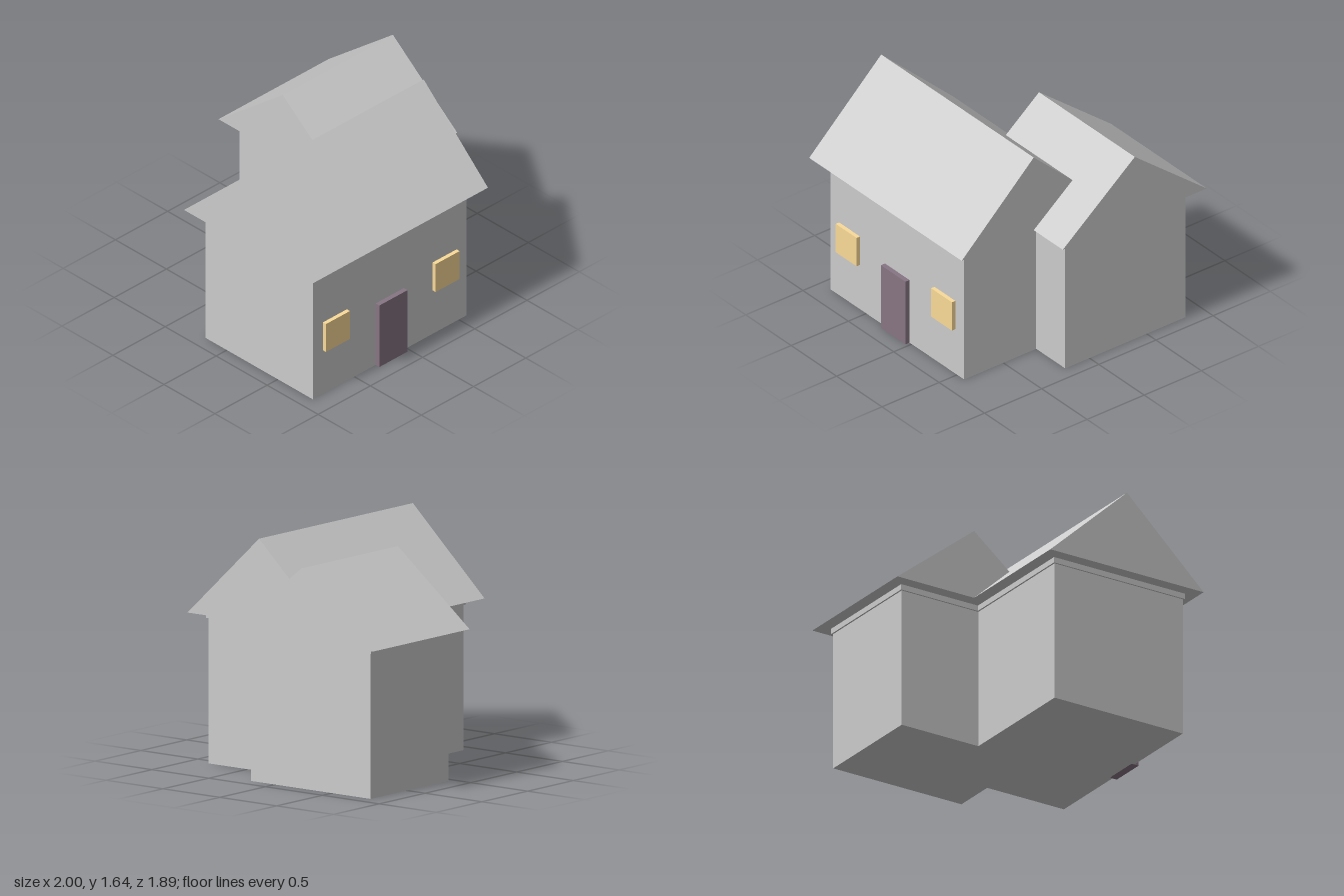
import * as THREE from 'three';

const grey = new THREE.MeshStandardMaterial({ color: 0xcccccc, flatShading: true });
const glow = new THREE.MeshStandardMaterial({ color: 0xfada98 });
const wood = new THREE.MeshStandardMaterial({ color: 0x877583 });

const WALL_TOP = 1.015, EAVES = 1.055;

// Box given by its extents on each axis
function box(name, [x0, x1], [y0, y1], [z0, z1], material = grey) {
  const mesh = new THREE.Mesh(new THREE.BoxGeometry(x1 - x0, y1 - y0, z1 - z0), material);
  mesh.position.set((x0 + x1) / 2, (y0 + y1) / 2, (z0 + z1) / 2);
  mesh.name = name;
  return mesh;
}

// Solid triangular prism with its ridge running along x
function gableRoof(name, [x0, x1], [z0, z1], ridgeY) {
  const gable = new THREE.Shape();
  gable.moveTo(-z1, EAVES);
  gable.lineTo(-z0, EAVES);
  gable.lineTo(-(z0 + z1) / 2, ridgeY);
  gable.closePath();
  const geometry = new THREE.ExtrudeGeometry(gable, { depth: x1 - x0, bevelEnabled: false });
  geometry.rotateY(Math.PI / 2).translate(x0, 0, 0);
  const mesh = new THREE.Mesh(geometry, grey);
  mesh.name = name;
  return mesh;
}

const grow = ([a, b], d) => [a - d, b + d];

// One wing: walls, a narrow cornice and an overhanging roof
function wing(name, x, z, ridgeY) {
  const group = new THREE.Group();
  group.name = name;
  group.add(
    box('walls', x, [0, WALL_TOP], z),
    box('cornice', grow(x, 0.012), [WALL_TOP, EAVES], grow(z, 0.012)),
    gableRoof('roof', grow(x, 0.103), grow(z, 0.103), ridgeY),
  );
  return group;
}

export function createModel() {
  const house = new THREE.Group();
  house.name = 'house';

  house.add(
    wing('frontWing', [-0.897, 0.577], [-0.212, 0.842], 1.645),
    wing('rearWing', [0.048, 0.897], [-0.842, 0.212], 1.56),
  );

  // Door and windows on the front wall
  house.add(box('door', [-0.295, -0.025], [0, 0.508], [0.82, 0.878], wood));
  for (const x of [-0.685, 0.365]) {
    house.add(box('window', [x - 0.115, x + 0.115], [0.36, 0.59], [0.82, 0.872], glow));
  }
  return house;
}
